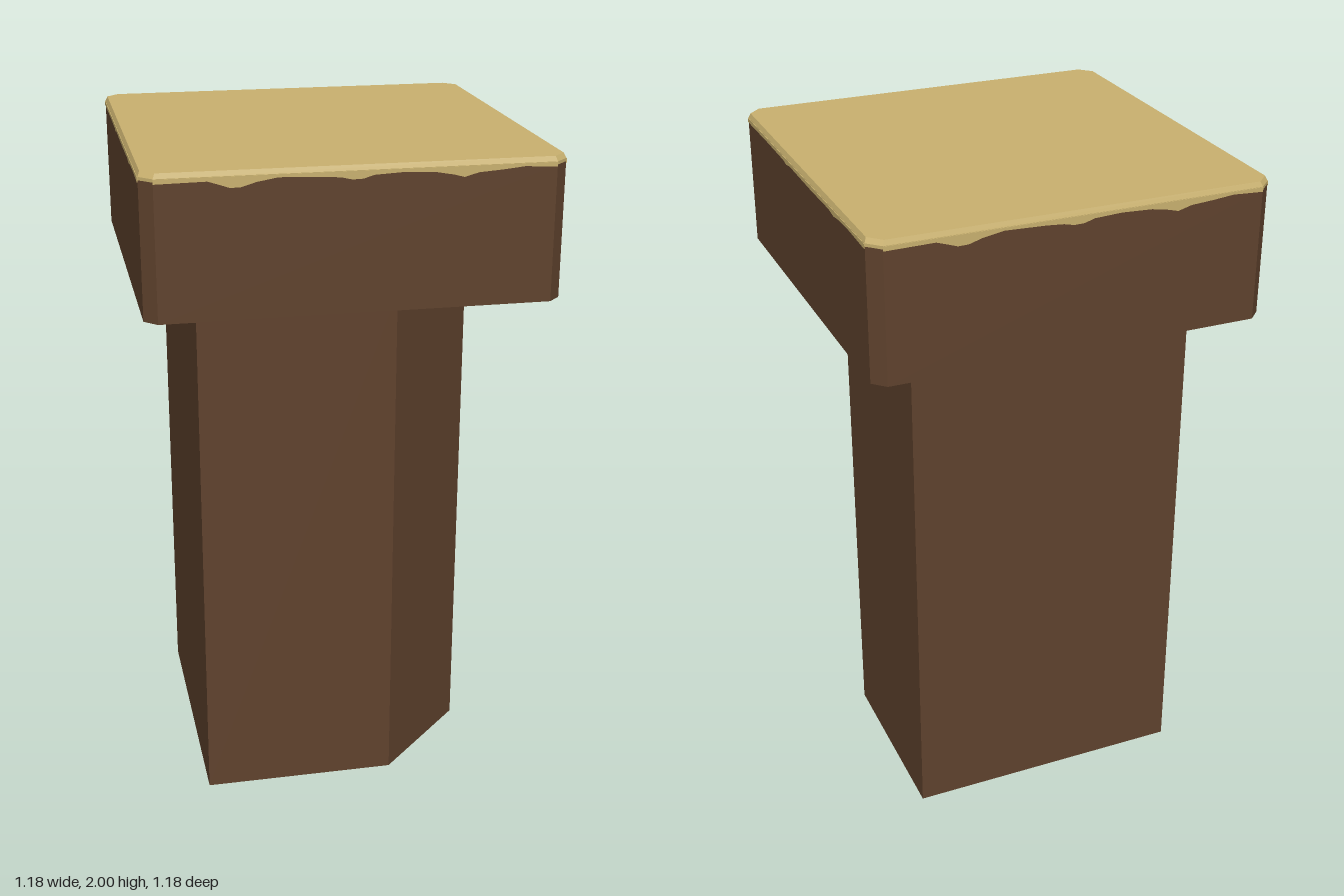
import * as THREE from 'three';

// Square outline with cut corners, ordered counter-clockwise seen from above
function octagon(half, cut, y) {
  const a = half, b = half - cut;
  return [[b, a], [a, b], [a, -b], [b, -a], [-b, -a], [-a, -b], [-a, b], [-b, a]]
    .map(([x, z]) => new THREE.Vector3(x, y, z));
}

// Flat-faced walls through a stack of rings, with optional end caps
function loft(rings, { top = false, bottom = false } = {}) {
  const pts = [];
  for (let r = 0; r < rings.length - 1; r++) {
    const lo = rings[r], hi = rings[r + 1];
    lo.forEach((p, i) => {
      const j = (i + 1) % lo.length;
      pts.push(p, lo[j], hi[j], p, hi[j], hi[i]);
    });
  }
  const fan = (ring, flip) => {
    for (let i = 1; i < ring.length - 1; i++) {
      pts.push(ring[0], ...(flip ? [ring[i + 1], ring[i]] : [ring[i], ring[i + 1]]));
    }
  };
  if (top) fan(rings[rings.length - 1], false);
  if (bottom) fan(rings[0], true);
  const geo = new THREE.BufferGeometry().setFromPoints(pts);
  geo.computeVertexNormals();
  return geo;
}

// Thin plate with a ragged lower edge, hanging along one side of the cap
function dripGeometry(edge) {
  const shape = new THREE.Shape();
  shape.moveTo(0.553, 1.985);
  shape.lineTo(-0.553, 1.985);
  edge.forEach(([x, y]) => shape.lineTo(x, y));
  shape.closePath();
  const geo = new THREE.ExtrudeGeometry(shape, { depth: 0.003, bevelEnabled: false });
  return geo.translate(0, 0, 0.588);
}

export function createModel() {
  const wood = new THREE.MeshStandardMaterial({ color: 0x5f422d });
  wood.name = 'brown wood';
  wood.side = THREE.DoubleSide;
  const cream = new THREE.MeshStandardMaterial({ color: 0xc9b16f });
  cream.name = 'pale yellow';

  const model = new THREE.Group();
  model.name = 'post';
  const add = (geo, mat, name) => {
    const mesh = new THREE.Mesh(geo, mat);
    mesh.name = name;
    model.add(mesh);
    return mesh;
  };

  // Hollow shaft, open below, with one broad cut corner
  const h = 0.432, c = 0.15;
  const shaftRing = (y) => [[c, h], [h, c], [h, -h], [-h, -h], [-h, h]]
    .map(([x, z]) => new THREE.Vector3(x, y, z));
  add(loft([shaftRing(0), shaftRing(1.59)]), wood, 'shaft');

  // Cap block and its pale bevelled top
  add(loft([octagon(0.589, 0.036, 1.588), octagon(0.589, 0.036, 1.977)], { bottom: true }), wood, 'cap');
  add(loft([
    octagon(0.589, 0.036, 1.977),
    octagon(0.589, 0.036, 1.986),
    octagon(0.583, 0.036, 2),
  ], { top: true }), cream, 'capTop');

  // Ragged trim: deeper drips front and back, shallow ones on the sides
  const deep = dripGeometry([
    [-0.553, 1.972], [-0.41, 1.974], [-0.385, 1.966], [-0.35, 1.954], [-0.32, 1.955], [-0.28, 1.967],
    [-0.22, 1.977], [-0.1, 1.973], [-0.05, 1.969], [-0.02, 1.962], [0.01, 1.963], [0.04, 1.972],
    [0.12, 1.976], [0.21, 1.972], [0.26, 1.963], [0.29, 1.955], [0.33, 1.966], [0.4, 1.971],
    [0.46, 1.977], [0.553, 1.972],
  ]);
  const shallow = dripGeometry([
    [-0.553, 1.972], [-0.35, 1.974], [-0.17, 1.973], [-0.14, 1.968], [-0.11, 1.974], [0.1, 1.972],
    [0.26, 1.974], [0.3, 1.968], [0.34, 1.973], [0.42, 1.976], [0.553, 1.971],
  ]);
  ['frontDrips', 'leftDrips', 'backDrips', 'rightDrips'].forEach((name, i) => {
    add(i % 2 ? shallow : deep, cream, name).rotation.y = i * Math.PI / 2;
  });

  return model;
}
